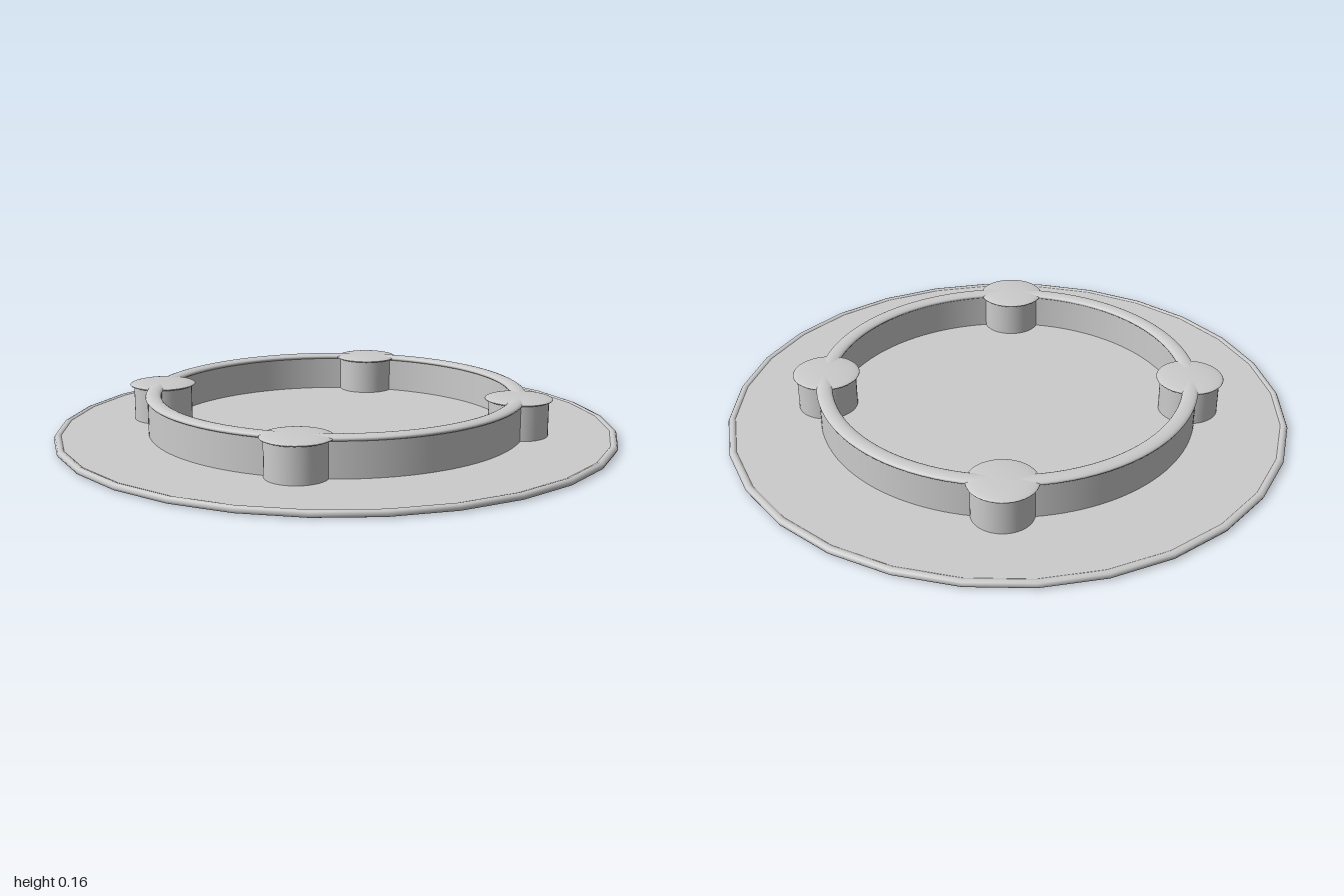
import * as THREE from 'three';

const RING = 0.65; // centre radius of the low wall
const material = new THREE.MeshStandardMaterial({ color: 0xcccccc });

export function createModel() {
  const model = new THREE.Group();
  model.name = 'ringPlatform';

  const add = (name, geometry, x, y, z) => {
    const mesh = new THREE.Mesh(geometry, material);
    mesh.name = name;
    mesh.position.set(x, y, z);
    model.add(mesh);
    return mesh;
  };

  // Flattened ring lying on its side
  const flatTorus = (radius, tube, halfHeight, sides, segments) =>
    new THREE.TorusGeometry(radius, tube, sides, segments)
      .rotateX(Math.PI / 2)
      .scale(1, halfHeight / tube, 1);

  // Ground disc and its coarse rounded rim
  add('groundDisc', new THREE.CylinderGeometry(0.982, 0.982, 0.02, 64), 0, 0.011, 0);
  add('groundRim', flatTorus(0.985, 0.015, 0.0125, 8, 28), 0, 0.0125, 0);

  // Low circular wall, extruded from a ring
  const ring = new THREE.Shape().absarc(0, 0, 0.671, 0, Math.PI * 2, false);
  ring.holes.push(new THREE.Path().absarc(0, 0, 0.629, 0, Math.PI * 2, true));
  const wall = new THREE.ExtrudeGeometry(ring, { depth: 0.13, bevelEnabled: false, curveSegments: 64 });
  // Smooth the curved sides: radial normals wherever the face is upright
  const pos = wall.attributes.position, nor = wall.attributes.normal;
  for (let i = 0; i < pos.count; i++) {
    if (Math.abs(nor.getZ(i)) > 0.5) continue;
    const r = Math.hypot(pos.getX(i), pos.getY(i));
    const s = r > RING ? 1 / r : -1 / r;
    nor.setXYZ(i, pos.getX(i) * s, pos.getY(i) * s, 0);
  }
  add('wall', wall.rotateX(-Math.PI / 2), 0, 0.018, 0);

  // Rounded coping along the wall top
  add('wallCoping', flatTorus(RING, 0.028, 0.011, 16, 96), 0, 0.149, 0);

  // Four posts on the diagonals, each with a shallow domed cap
  for (let i = 0; i < 4; i++) {
    const angle = Math.PI / 4 + (i * Math.PI) / 2;
    const x = RING * Math.cos(angle);
    const z = RING * Math.sin(angle);
    add('post' + (i + 1), new THREE.CylinderGeometry(0.105, 0.105, 0.13, 40), x, 0.083, z);
    add('postCap' + (i + 1), new THREE.SphereGeometry(0.119, 40, 20).scale(1, 0.1, 1), x, 0.149, z);
  }

  return model;
}
